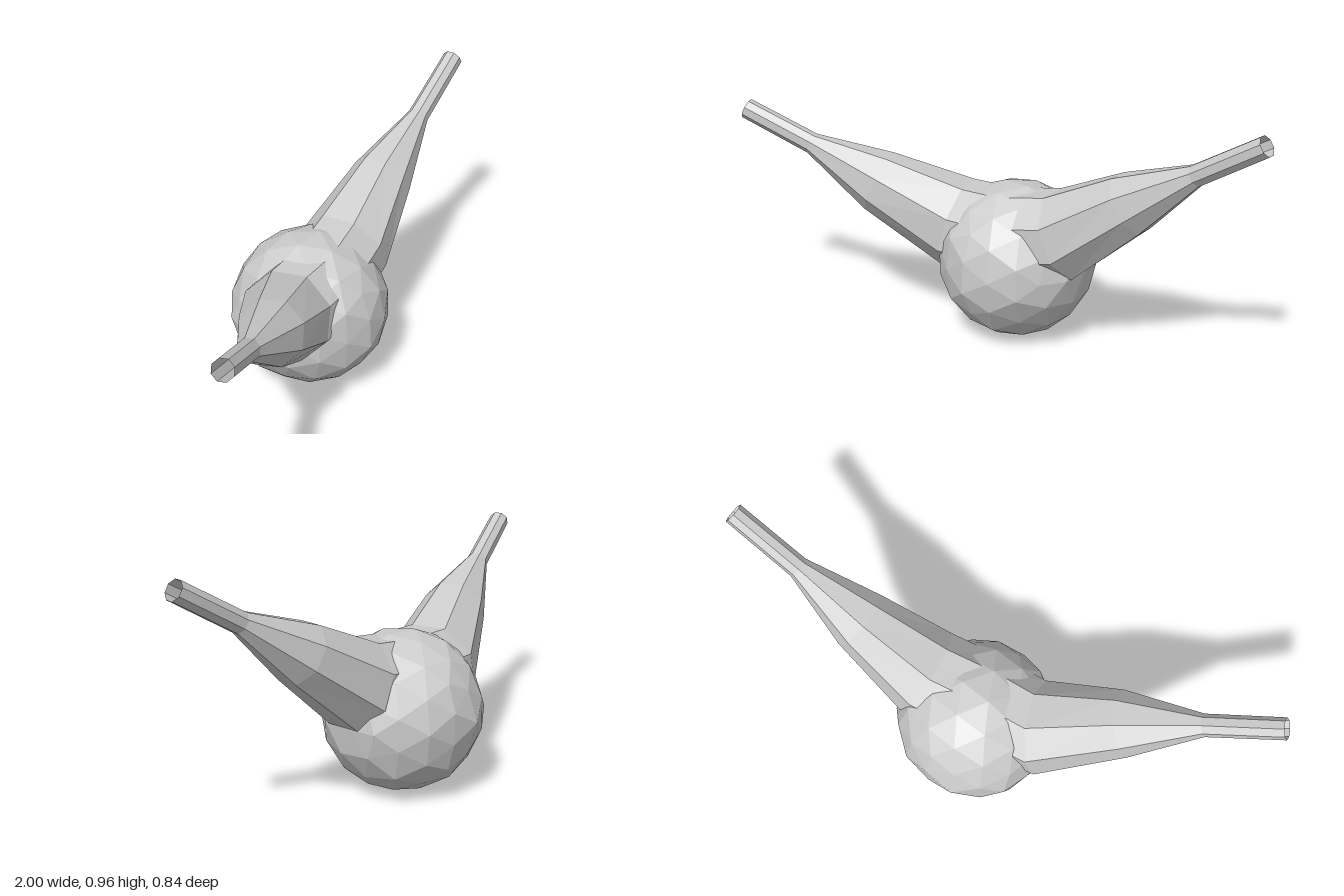
import * as THREE from 'three';

const material = new THREE.MeshStandardMaterial({ color: 0xcccccc, flatShading: true, side: THREE.DoubleSide });
const SIDES = 8;

// Open tube lofted through rings [x, y, z, radius], each square to the path
function loft(rings) {
  const centres = rings.map(([x, y, z]) => new THREE.Vector3(x, y, z));
  const positions = [], index = [];
  rings.forEach((ring, i) => {
    const before = centres[Math.max(i - 1, 0)];
    const after = centres[Math.min(i + 1, rings.length - 1)];
    const along = after.clone().sub(before).normalize();
    const side = along.clone().cross(new THREE.Vector3(0, 1, 0)).normalize();
    const up = side.clone().cross(along);
    for (let j = 0; j < SIDES; j++) {
      const a = ((j + 0.5) / SIDES) * Math.PI * 2;
      const p = centres[i].clone()
        .addScaledVector(side, Math.cos(a) * ring[3])
        .addScaledVector(up, Math.sin(a) * ring[3]);
      positions.push(p.x, p.y, p.z);
      if (i === 0) continue;
      const k = (j + 1) % SIDES, lo = (i - 1) * SIDES, hi = i * SIDES;
      index.push(lo + j, lo + k, hi + k, lo + j, hi + k, hi + j);
    }
  });
  const geometry = new THREE.BufferGeometry();
  geometry.setAttribute('position', new THREE.Float32BufferAttribute(positions, 3));
  geometry.setIndex(index);
  geometry.computeVertexNormals();
  return geometry;
}

// Faceted ball with a slightly uneven surface
function unevenBall(radius) {
  const geometry = new THREE.IcosahedronGeometry(1, 2);
  const pos = geometry.attributes.position;
  const v = new THREE.Vector3();
  for (let i = 0; i < pos.count; i++) {
    v.fromBufferAttribute(pos, i).normalize();
    const bump = Math.sin(v.x * 7 + 1) * Math.sin(v.y * 6 + 2) * Math.sin(v.z * 8);
    v.multiplyScalar(radius * (1 + 0.03 * bump));
    pos.setXYZ(i, v.x, v.y, v.z);
  }
  geometry.computeVertexNormals();
  return geometry;
}

export function createModel() {
  const group = new THREE.Group();
  const add = (name, geometry) => {
    const mesh = new THREE.Mesh(geometry, material);
    mesh.name = name;
    group.add(mesh);
    return mesh;
  };

  // Round body
  add('body', unevenBall(0.3)).position.set(-0.02, 0.297, -0.125);

  // Two tapering open tubes, meeting inside the top of the body
  const middle = [-0.03, 0.4, -0.08, 0.175];
  add('leftTube', loft([
    middle,
    [0.21, 0.445, -0.14, 0.172],
    [0.475, 0.62, -0.18, 0.118],
    [0.725, 0.775, -0.205, 0.041],
    [0.978, 0.928, -0.232, 0.039],
  ]));
  add('rightTube', loft([
    middle,
    [-0.25, 0.405, -0.035, 0.175],
    [-0.505, 0.55, 0.13, 0.122],
    [-0.74, 0.678, 0.258, 0.041],
    [-0.975, 0.797, 0.382, 0.039],
  ]));

  return group;
}
